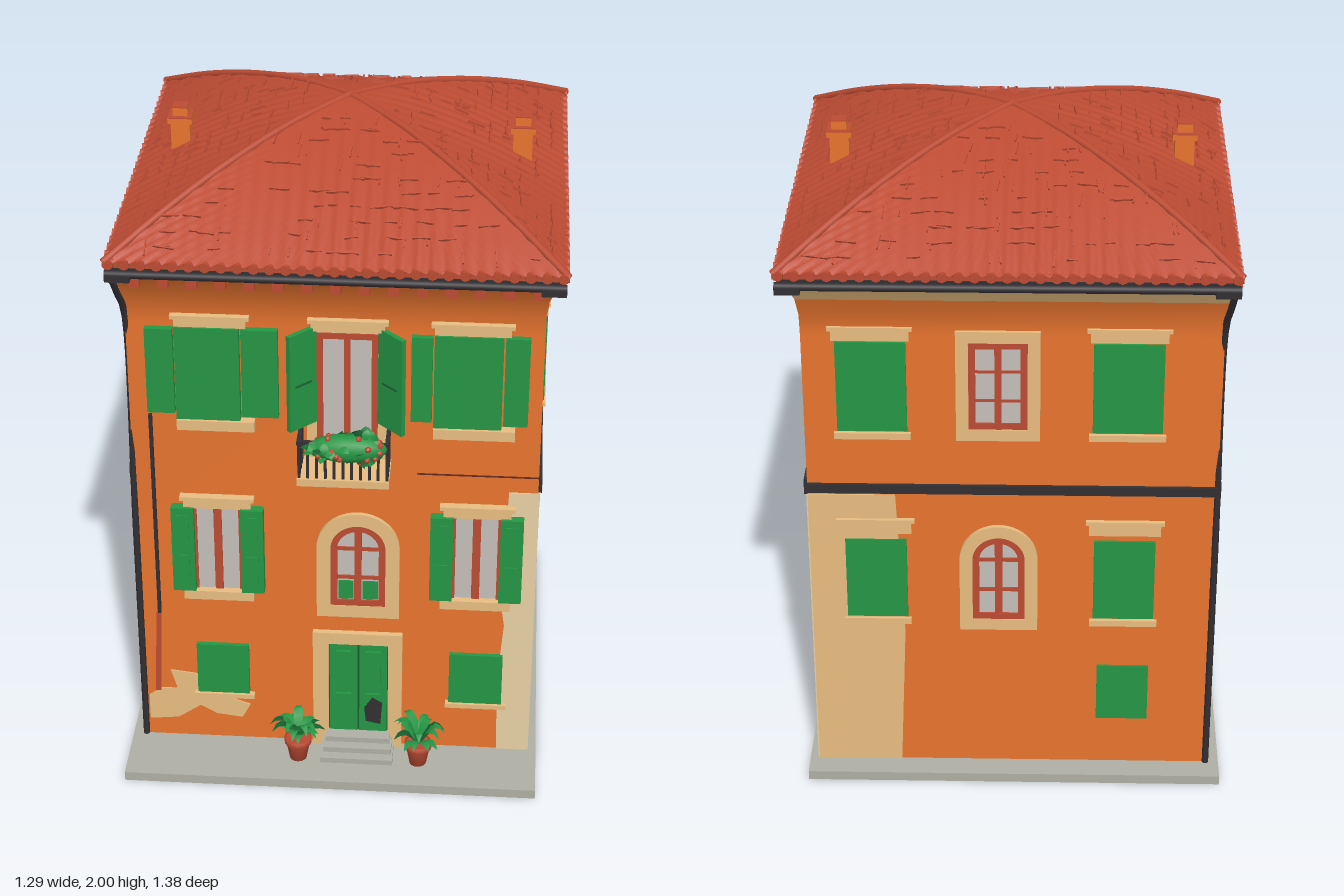
import * as THREE from 'three';
import { mergeGeometries } from 'three/addons/utils/BufferGeometryUtils.js';

const mat = (name, color) => Object.assign(new THREE.MeshStandardMaterial({ color, side: THREE.DoubleSide }), { name });
const M = {
  orange: mat('orange plaster', 0xe8742f), tan: mat('tan plaster', 0xe8bd80), cream: mat('pale plaster', 0xf4dcae),
  green: mat('green paint', 0x259544), darkGreen: mat('dark green', 0x17602f), red: mat('roof red', 0xbc4b33),
  darkRed: mat('dark brown', 0x632a1e), charcoal: mat('charcoal iron', 0x322f32), glass: mat('grey glass', 0xc4beb8),
  stone: mat('grey stone', 0xaeaea4),
};

function add(parent, name, geo, material) {
  const m = new THREE.Mesh(geo, material);
  m.name = name;
  parent.add(m);
  return m;
}
// Box given by its limits
function box(parent, name, material, x0, x1, y0, y1, z0, z1) {
  const m = add(parent, name, new THREE.BoxGeometry(x1 - x0, y1 - y0, z1 - z0), material);
  m.position.set((x0 + x1) / 2, (y0 + y1) / 2, (z0 + z1) / 2);
  return m;
}
let seed = 7;
const rnd = () => (seed = (seed * 16807) % 2147483647) / 2147483647;

const X0 = -0.605, X1 = 0.585, Z0 = -0.545, Z1 = 0.5;
// Wall rings: height, flare in x, flare in z
const RINGS = [[0.03, 0, 0], [1.5, 0, 0], [1.57, 0, 0.012], [1.63, 0.006, 0.04], [1.68, 0.02, 0.075], [1.71, 0.035, 0.1]];

function wall(parent, name, material, a, b, rings = RINGS) {
  const g = new THREE.PlaneGeometry(1, 1, 1, rings.length - 1), p = g.attributes.position;
  for (let i = 0; i < p.count; i++) {
    const [y, fx, fz] = rings[rings.length - 1 - Math.floor(i / 2)];
    const [sx, sz] = i % 2 ? b : a;
    p.setXYZ(i, sx > 0 ? X1 + fx : X0 - fx, y, sz > 0 ? Z1 + fz : Z0 - fz);
  }
  g.computeVertexNormals();
  add(parent, name, g, material);
}

function archShape(S, x0, x1, y0, y1) {
  const r = (x1 - x0) / 2, s = new S();
  s.moveTo(x0, y0); s.lineTo(x1, y0); s.lineTo(x1, y1 - r);
  s.absarc((x0 + x1) / 2, y1 - r, r, 0, Math.PI); s.lineTo(x0, y0);
  return s;
}
function patch(parent, name, material, pts, z = 0) {
  const s = new THREE.Shape(pts.map(p => new THREE.Vector2(...p)));
  add(parent, name, new THREE.ExtrudeGeometry(s, { depth: 0.004, bevelEnabled: false }), material).position.z = z;
}
const shutter = (p, x0, x1, y0, y1, d = 0.007) => box(p, 'shutter', M.green, x0, x1, y0, y1, 0, d);
// Red casement with glass
function casement(p, x0, x1, y0, y1, w, rails) {
  const c = (x0 + x1) / 2;
  box(p, 'pane', M.glass, x0, x1, y0, y1, 0, 0.006);
  for (const x of [x0 + w / 2, c, x1 - w / 2]) box(p, 'casementBar', M.red, x - w / 2, x + w / 2, y0, y1, 0, 0.011);
  for (const y of [y0 + w / 2, y1 - w / 2]) box(p, 'casementRail', M.red, x0, x1, y - w / 2, y + w / 2, 0, 0.01);
  for (let i = 1; i <= rails; i++) {
    const y = y0 + (y1 - y0) * i / (rails + 1);
    box(p, 'glazingBar', M.red, x0, x1, y - 0.004, y + 0.004, 0, 0.009);
  }
}
function lintel(p, x0, x1, y0, y1, d = 0.008) {
  box(p, 'lintel', M.tan, x0 + 0.01, x1 - 0.01, y0, y1, 0, d);
  box(p, 'lintelCap', M.tan, x0, x1, y1 - 0.012, y1, 0, d + 0.006);
}
const sill = (p, x0, x1, y0, y1, d = 0.012) => box(p, 'sill', M.tan, x0, x1, y0, y1, 0, d);
function archedWindow(p, x0, x1, y0, y1, t) {
  const s = archShape(THREE.Shape, x0, x1, y0, y1);
  s.holes.push(archShape(THREE.Path, x0 + t, x1 - t, y0 + t, y1 - t));
  add(p, 'archedSurround', new THREE.ExtrudeGeometry(s, { depth: 0.014, bevelEnabled: false }), M.tan);
  const a = x0 + t, b = x1 - t, top = y1 - t, w = 0.02;
  const f = archShape(THREE.Shape, a, b, y0 + t, top);
  f.holes.push(archShape(THREE.Path, a + w, b - w, y0 + t + w, top - w));
  add(p, 'archedFrame', new THREE.ExtrudeGeometry(f, { depth: 0.012, bevelEnabled: false }), M.red);
  add(p, 'archedPane', new THREE.ExtrudeGeometry(archShape(THREE.Shape, a, b, y0 + t, top), { depth: 0.006, bevelEnabled: false }), M.glass);
  const c = (a + b) / 2, ym = top - (b - a) / 2;
  box(p, 'archedBar', M.red, c - 0.011, c + 0.011, y0 + t, top, 0, 0.011);
  for (const y of [ym, (ym + y0 + t) / 2]) box(p, 'archedRail', M.red, a, b, y - 0.006, y + 0.006, 0, 0.01);
}
function squareWindow(p, x0, x1, y0, y1, t = 0.036) {
  for (const [a, b] of [[x0, x0 + t], [x1 - t, x1]]) box(p, 'jamb', M.tan, a, b, y0, y1, 0, 0.014);
  for (const [a, b] of [[y0, y0 + t], [y1 - t, y1]]) box(p, 'surroundRail', M.tan, x0, x1, a, b, 0, 0.014);
  casement(p, x0 + t, x1 - t, y0 + t, y1 - t, 0.02, 2);
}
function leaf(len, lift, width) {
  const g = new THREE.PlaneGeometry(1, 1, 2, 5), p = g.attributes.position;
  for (let i = 0; i < p.count; i++) {
    const s = p.getY(i) + 0.5;
    p.setXYZ(i, s * len, lift * Math.sin(s * 2.3), p.getX(i) * width * Math.sin(0.35 + s * 2.75));
  }
  g.computeVertexNormals();
  return g;
}

// Curved hip roof: height by distance from the apex (0 to 1)
const RX = 0.638, RZ = 0.636, RC = -0.025;
const roofY = d => 1.99 - 0.17 * d ** 1.5 - 0.075 * d * d;
function roof(root) {
  const g = new THREE.Group(); g.name = 'roof'; root.add(g);
  const ridges = [];
  for (let k = 0; k < 4; k++) {
    const geo = new THREE.PlaneGeometry(2, 1, 112, 24), p = geo.attributes.position;
    for (let i = 0; i < p.count; i++) {
      const d = 0.5 - p.getY(i), u = p.getX(i) * d;
      p.setXYZ(i, u * RX, roofY(d) + 0.005 * d * Math.cos(u * Math.PI * 28), d * RZ);
    }
    geo.computeVertexNormals();
    const side = add(g, 'roofSlope', geo, M.red);
    side.rotation.y = k * Math.PI / 2; side.position.z = RC;
    // Raised tile edges in rows and columns
    for (let row = 3; row < 14; row++) for (let n = 0; n < row * 1.2; n++) {
      const d = row / 14 + (rnd() - 0.5) * 0.01, u = (rnd() * 2 - 1) * (d - 0.04), across = rnd() < 0.7;
      const b = across ? new THREE.BoxGeometry(0.025 + rnd() * 0.035, 0.012, 0.005) : new THREE.BoxGeometry(0.004, 0.011, 0.025 + rnd() * 0.03);
      b.rotateY((rnd() - 0.5) * 0.3);
      b.rotateX(Math.atan2(roofY(d - 0.02) - roofY(d + 0.02), 0.04 * RZ));
      b.translate(u * RX, roofY(d), d * RZ).rotateY(k * Math.PI / 2).translate(0, 0, RC);
      ridges.push(b);
    }
    // Round tile ends along the eave
    for (let n = -14; n <= 14; n++) {
      const c = new THREE.CylinderGeometry(0.015, 0.015, 0.03, 8).rotateX(Math.PI / 2);
      c.translate(n / 14 * 0.625, roofY(1) - 0.007, RZ - 0.01).rotateY(k * Math.PI / 2).translate(0, 0, RC);
      add(g, 'eaveTile', c, M.red);
    }
    const sx = k % 2 ? 1 : -1, sz = k < 2 ? 1 : -1;
    const path = new THREE.CatmullRomCurve3([0, 0.25, 0.5, 0.75, 1].map(d => new THREE.Vector3(sx * d * RX, roofY(d), RC + sz * d * RZ)));
    add(g, 'hipRidge', new THREE.TubeGeometry(path, 24, 0.011, 8), M.red);
  }
  add(g, 'tileEdges', mergeGeometries(ridges), M.red);
  box(g, 'soffit', M.tan, -0.615, 0.615, 1.698, 1.71, -0.64, 0.598);
  box(g, 'fascia', M.charcoal, -0.63, 0.63, 1.703, 1.724, -0.657, 0.606);
  box(g, 'tileBed', M.red, -0.626, 0.626, 1.724, 1.747, -0.652, 0.602);
  for (const z of [-0.668, 0.613]) {
    add(g, 'gutter', new THREE.CylinderGeometry(0.012, 0.012, 1.27, 10).rotateZ(Math.PI / 2), M.charcoal).position.set(0, 1.71, z);
    for (const x of [-0.6, 0.6]) box(g, 'gutterEnd', M.charcoal, x - 0.035, x + 0.035, 1.69, 1.71, z - 0.014, z + 0.014);
  }
  for (const x of [-0.5, 0.503]) {
    box(g, 'chimney', M.orange, x - 0.028, x + 0.028, 1.78, 1.9, -0.055, 0.001);
    box(g, 'chimneyCap', M.orange, x - 0.036, x + 0.036, 1.893, 1.91, -0.063, 0.009);
    box(g, 'capTiles', M.red, x - 0.036, x + 0.036, 1.91, 1.913, -0.063, 0.009);
    box(g, 'chimneyTop', M.orange, x - 0.022, x + 0.022, 1.913, 1.938, -0.049, -0.005);
    box(g, 'topTile', M.red, x - 0.022, x + 0.022, 1.938, 1.941, -0.049, -0.005);
  }
}

function front(p) {
  patch(p, 'paleCorner', M.cream, [[0.49, 0.03], [0.585, 0.03], [0.585, 0.975], [0.5, 0.975], [0.485, 0.6], [0.5, 0.5], [0.485, 0.3]]);
  patch(p, 'barePlaster', M.tan, [[-0.59, 0.09], [-0.5, 0.1], [-0.43, 0.15], [-0.38, 0.12], [-0.3, 0.11], [-0.275, 0.16], [-0.36, 0.19], [-0.4, 0.24], [-0.44, 0.27], [-0.52, 0.28], [-0.5, 0.21], [-0.55, 0.21], [-0.59, 0.18]]);
  patch(p, 'rustStain', M.red, [[-0.57, 0.2], [-0.552, 0.2], [-0.54, 0.5], [-0.555, 0.5]]);
  box(p, 'crack', M.darkRed, 0.23, 0.585, 1.026, 1.03, 0, 0.003);
  // Upper floor
  for (const [a, b, c, d] of [[-0.55, -0.47, -0.465, -0.28], [0.21, 0.27, 0.275, 0.47]]) {
    const e = a < 0 ? -0.17 : 0.545;
    shutter(p, a, b, 1.215, 1.49, 0.02); shutter(p, c, d, 1.2, 1.5, 0.026); shutter(p, d + 0.005, e, 1.21, 1.495, 0.02);
    lintel(p, c - 0.01, d + 0.03, 1.5, 1.538, 0.02); sill(p, c, d + 0.04, 1.165, 1.197, 0.03);
  }
  lintel(p, -0.085, 0.145, 1.5, 1.538, 0.02);
  box(p, 'doorSurround', M.tan, -0.09, 0.145, 1.07, 1.5, 0, 0.005);
  casement(p, -0.06, 0.115, 1.075, 1.49, 0.018, 0);
  for (const s of [-1, 1]) {
    const h = new THREE.Group(); h.name = 'openShutter'; p.add(h);
    h.position.set(0.028 + s * 0.098, 0, 0); h.rotation.y = -s * Math.PI / 4;
    box(h, 'shutterLeaf', M.green, s > 0 ? 0 : -0.1, s > 0 ? 0.1 : 0, 1.2, 1.51, 0, 0.015);
    box(h, 'shutterPanel', M.darkGreen, s * 0.05 - 0.03, s * 0.05 + 0.03, 1.34, 1.345, -0.003, 0.018);
  }
  // Balcony with flowers
  box(p, 'balconySlab', M.tan, -0.11, 0.155, 1.052, 1.075, 0, 0.13);
  box(p, 'balconyLip', M.tan, -0.09, 0.135, 1.038, 1.052, 0, 0.1);
  for (let i = 0; i <= 10; i++) box(p, 'baluster', M.charcoal, -0.104 + i * 0.0253 - 0.004, -0.104 + i * 0.0253 + 0.004, 1.075, 1.19, 0.114, 0.122);
  for (const x of [-0.104, 0.149]) {
    for (let i = 0; i < 4; i++) box(p, 'sideBaluster', M.charcoal, x - 0.004, x + 0.004, 1.075, 1.19, 0.01 + i * 0.027, 0.018 + i * 0.027);
    box(p, 'sideRail', M.charcoal, x - 0.006, x + 0.006, 1.185, 1.197, 0, 0.124);
  }
  box(p, 'frontRail', M.charcoal, -0.11, 0.155, 1.185, 1.197, 0.112, 0.124);
  const bush = add(p, 'flowerBush', new THREE.IcosahedronGeometry(1, 3), M.green);
  bush.scale.set(0.112, 0.042, 0.04); bush.position.set(0.038, 1.183, 0.125);
  for (let i = 0; i < 100; i++) {
    const a = rnd() * Math.PI * 2, b = rnd() * 2 - 1, r = Math.sqrt(1 - b * b);
    const at = [0.038 + b * 0.108, 1.183 + r * Math.sin(a) * 0.042, 0.125 + r * Math.cos(a) * 0.041];
    const f = i % 3 ? add(p, 'bushLeaf', leaf(0.03, 0.008, 0.024), i % 5 ? M.green : M.darkGreen) : add(p, 'blossom', new THREE.IcosahedronGeometry(0.01, 0), M.red);
    f.position.set(...at); f.rotation.set(a, b * 3, -0.9 * rnd());
  }
  // Middle floor
  for (const c of [-0.358, 0.41]) {
    box(p, 'windowSurround', M.tan, c - 0.09, c + 0.09, 0.59, 0.9, 0, 0.004);
    box(p, 'pane', M.glass, c - 0.07, c + 0.07, 0.6, 0.885, 0, 0.007);
    for (const [x, w] of [[c, 0.012], [c - 0.066, 0.004], [c + 0.066, 0.004]]) box(p, 'windowBar', M.red, x - w, x + w, 0.6, 0.885, 0, 0.012);
    lintel(p, c - 0.11, c + 0.11, 0.89, 0.93, 0.02); sill(p, c - 0.105, c + 0.105, 0.57, 0.6, 0.03);
    for (const s of [-1, 1]) {
      const x = c + s * 0.103;
      shutter(p, x - 0.034, x + 0.034, 0.6, 0.893, 0.03);
      for (const y of [0.62, 0.76]) box(p, 'shutterPanel', M.green, x - 0.018, x + 0.018, y, y + 0.11, 0.028, 0.034);
    }
  }
  archedWindow(p, -0.065, 0.183, 0.515, 0.885, 0.042);
  for (const x of [0, 0.073]) box(p, 'lowerPane', M.green, x, x + 0.046, 0.58, 0.645, 0, 0.009);
  // Ground floor
  for (const [a, b] of [[-0.435, -0.275], [0.338, 0.5]]) { shutter(p, a, b, 0.21, 0.39, 0.014); sill(p, a - 0.01, b + 0.015, 0.193, 0.208, 0.02); }
  box(p, 'doorFrameLeft', M.tan, -0.078, -0.03, 0.03, 0.45, 0, 0.018);
  box(p, 'doorFrameRight', M.tan, 0.152, 0.195, 0.03, 0.45, 0, 0.018);
  box(p, 'doorFrameTop', M.tan, -0.078, 0.195, 0.415, 0.455, 0, 0.018);
  box(p, 'doorBack', M.darkGreen, -0.03, 0.152, 0.03, 0.415, 0, 0.006);
  for (const x of [-0.027, 0.064]) {
    box(p, 'doorLeaf', M.green, x, x + 0.085, 0.085, 0.412, 0, 0.012);
    for (const [y0, y1] of [[0.11, 0.23], [0.25, 0.39]]) box(p, 'doorPanel', M.green, x + 0.019, x + 0.066, y0, y1, 0.01, 0.02);
  }
  patch(p, 'doorHole', M.charcoal, [[0.085, 0.13], [0.13, 0.12], [0.135, 0.2], [0.105, 0.22], [0.08, 0.18]], 0.018);
  for (let i = 0; i < 3; i++) box(p, 'step', M.stone, -0.05 + i * 0.006, 0.172 - i * 0.006, 0.03 + i * 0.018, 0.048 + i * 0.018, 0, 0.11 - i * 0.03);
  // Potted plants
  for (const x of [-0.12, 0.25]) {
    const pot = new THREE.Group(); pot.name = 'pottedPlant'; pot.position.set(x, 0.03, 0.085); p.add(pot);
    add(pot, 'pot', new THREE.LatheGeometry([[0, 0], [0.026, 0], [0.037, 0.06], [0.042, 0.06], [0.042, 0.076], [0.034, 0.076], [0, 0.07]].map(q => new THREE.Vector2(...q)), 16), M.red);
    for (let i = 0; i < 20; i++) {
      const l = add(pot, 'leaf', leaf(0.06 + rnd() * 0.028, 0.035 + rnd() * 0.06, 0.03), i % 4 ? M.green : M.darkGreen);
      l.position.y = 0.07; l.rotation.y = i * 2.4;
    }
  }
  // Eave brackets and wall pipe
  for (let i = -7; i <= 7; i++) box(p, 'eaveBracket', M.red, i * 0.08 - 0.015, i * 0.08 + 0.015, 1.655, 1.695, 0.02, 0.085);
  box(p, 'wallPipe', M.charcoal, -0.55, -0.54, 0.5, 1.2, 0, 0.012);
}

// Side elevation; m = 1 or -1 swaps its direction
function side(p, m) {
  const r = (f, a, b, ...rest) => m > 0 ? f(p, a, b, ...rest) : f(p, -b, -a, ...rest);
  r(shutter, -0.345, -0.143, 1.2, 1.48); r(lintel, -0.365, -0.14, 1.485, 1.53); r(sill, -0.355, -0.11, 1.185, 1.198);
  r(squareWindow, -0.053, 0.127, 1.17, 1.52);
  r(shutter, 0.265, 0.4, 1.19, 1.46); r(lintel, 0.24, 0.415, 1.465, 1.52);
  for (const [a, b] of [[-0.35, -0.207], [0.265, 0.39]]) { r(shutter, a, b, 0.56, 0.81); r(lintel, a - 0.03, b + 0.03, 0.85, 0.92); }
  r(archedWindow, -0.07, 0.128, 0.52, 0.89, 0.036);
  r(shutter, -0.355, -0.2, 0.195, 0.388); r(shutter, 0.24, 0.395, 0.195, 0.388);
}

function back(p) {
  patch(p, 'backPaleCorner', M.tan, [[-0.585, 0.03], [-0.33, 0.03], [-0.31, 0.5], [-0.33, 0.98], [-0.585, 0.98]]);
  for (const c of [-0.39, 0.34]) {
    shutter(p, c - 0.1, c + 0.1, 1.195, 1.48); lintel(p, c - 0.12, c + 0.12, 1.485, 1.53); sill(p, c - 0.11, c + 0.11, 1.17, 1.19);
    shutter(p, c - 0.09, c + 0.09, 0.56, 0.83); lintel(p, c - 0.115, c + 0.115, 0.85, 0.9); sill(p, c - 0.1, c + 0.1, 0.535, 0.555);
  }
  squareWindow(p, -0.15, 0.09, 1.17, 1.52);
  archedWindow(p, -0.145, 0.085, 0.52, 0.88, 0.038);
  shutter(p, 0.265, 0.42, 0.195, 0.388);
}

export function createModel() {
  const root = new THREE.Group(); root.name = 'house';
  const base = box(root, 'pavement', M.stone, -0.645, 0.613, 0, 0.03, -0.62, 0.7);
  base.material = [M.stone, M.stone, M.stone, M.tan, M.stone, M.stone];
  wall(root, 'frontWall', M.orange, [-1, 1], [1, 1]);
  wall(root, 'rightWall', M.tan, [1, 1], [1, -1]);
  wall(root, 'backWall', M.orange, [1, -1], [-1, -1], RINGS.slice(0, 4));
  wall(root, 'backCove', M.tan, [1, -1], [-1, -1], RINGS.slice(3));
  wall(root, 'leftWall', M.orange, [-1, -1], [-1, 1]);
  const face = (name, x, z, turn) => {
    const g = new THREE.Group(); g.name = name; g.position.set(x, 0, z); g.rotation.y = turn * Math.PI / 2; root.add(g);
    return g;
  };
  front(face('frontDetails', 0, Z1, 0));
  const right = face('rightDetails', X1, 0, 1), left = face('leftDetails', X0, 0, -1);
  patch(right, 'orangePatch', M.orange, [[-0.2, 0.03], [0.26, 0.03], [0.29, 0.15], [0.3, 0.3], [0.24, 0.42], [0.15, 0.5], [0, 0.52], [-0.14, 0.51], [-0.21, 0.44], [-0.245, 0.32], [-0.24, 0.16]]);
  for (const [a, b] of [[-0.5, -0.41], [0.46, 0.545]]) box(right, 'paleStrip', M.cream, a, b, 0.03, 0.975, 0, 0.004);
  patch(left, 'leftBarePlaster', M.tan, [[-0.45, 0.07], [-0.4, 0.06], [-0.39, 0.1], [-0.43, 0.12]]);
  side(right, 1);
  side(left, -1);
  back(face('backDetails', 0, Z0, 2));
  // Dark band around the sides and back
  box(root, 'rightBand', M.charcoal, X1, X1 + 0.01, 0.978, 1.025, Z0, Z1);
  box(root, 'leftBand', M.charcoal, X0 - 0.01, X0, 0.978, 1.025, Z0, Z1);
  box(root, 'backBand', M.charcoal, X0, X1, 0.988, 1.017, Z0 - 0.01, Z0);
  // Corner downpipes
  for (const [x, z, sz] of [[X0, Z1, 1], [X0, Z0, -1]]) {
    const path = new THREE.CatmullRomCurve3([[x, 0.03, z], [x, 0.8, z], [x, 1.53, z], [x - 0.01, 1.62, z + sz * 0.05], [x - 0.02, 1.71, z + sz * 0.105]].map(q => new THREE.Vector3(...q)));
    add(root, 'downpipe', new THREE.TubeGeometry(path, 30, 0.01, 8), M.charcoal);
  }
  roof(root);
  return root;
}
